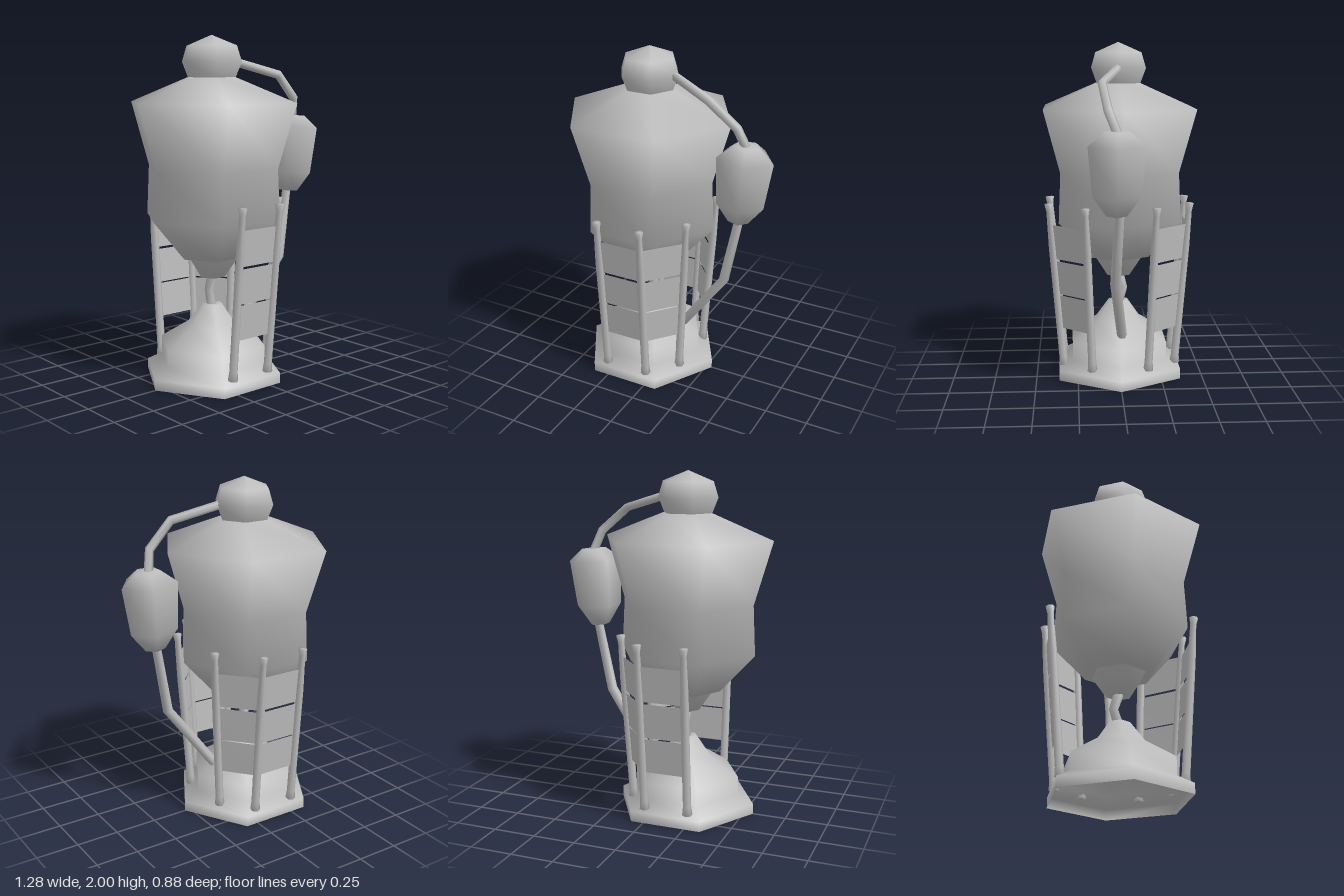
import * as THREE from 'three';
import { mergeVertices } from 'three/addons/utils/BufferGeometryUtils.js';

const CX = -0.135; // axis of the tank and base
const UP = new THREE.Vector3(0, 1, 0);

const grey = new THREE.MeshStandardMaterial({ color: 0xbcbcbc, side: THREE.DoubleSide });
grey.name = 'plain grey';

function smooth(geometry) {
  geometry.deleteAttribute('uv');
  geometry.deleteAttribute('normal');
  const merged = mergeVertices(geometry, 1e-4);
  merged.computeVertexNormals();
  return merged;
}

// Low-sided turned form with a corner on +x; profile runs bottom to top as [radius, y]
function turned(name, profile, sides = 6) {
  const points = profile.map(([r, y]) => new THREE.Vector2(r, y));
  const mesh = new THREE.Mesh(new THREE.LatheGeometry(points, sides, Math.PI / 2), grey);
  mesh.name = name;
  return mesh;
}

// Rod through points listed from top to bottom, with one radius per point
function rod(name, path, radii, sides = 6) {
  const pts = path.map((p) => new THREE.Vector3(...p));
  const last = pts.length - 1;
  const frames = pts.map((p, i) => {
    const a = pts[Math.max(i - 1, 0)], b = pts[Math.min(i + 1, last)];
    return new THREE.Quaternion().setFromUnitVectors(UP, a.clone().sub(b).normalize());
  });
  const geometry = new THREE.CylinderGeometry(1, 1, 1, sides, last);
  const pos = geometry.attributes.position;
  const v = new THREE.Vector3();
  for (let k = 0; k < pos.count; k++) {
    v.fromBufferAttribute(pos, k);
    const i = Math.round((0.5 - v.y) * last);
    v.y = 0;
    v.multiplyScalar(radii[i]).applyQuaternion(frames[i]).add(pts[i]);
    pos.setXYZ(k, v.x, v.y, v.z);
  }
  const mesh = new THREE.Mesh(smooth(geometry), grey);
  mesh.name = name;
  return mesh;
}

// Three leaning posts with rows of thin panels between them; side is +1 front, -1 back
function fence(name, side) {
  const group = new THREE.Group();
  group.name = name;
  const bottomY = 0.08, topY = 1.065;
  const posts = [
    { bottom: [-0.262, 0.335], top: [-0.262, 0.415] },
    { bottom: [0.0, 0.335], top: [0.012, 0.415] },
    { bottom: [0.14, 0.165], top: [0.2, 0.205] },
  ];
  const at = (post, y) => {
    const t = (y - bottomY) / (topY - bottomY);
    return new THREE.Vector3(
      THREE.MathUtils.lerp(post.bottom[0], post.top[0], t), y,
      side * THREE.MathUtils.lerp(post.bottom[1], post.top[1], t));
  };
  const heights = [1.065, 1.02, 0.8, 0.13, 0.08];
  const radii = [0.026, 0.018, 0.024, 0.024, 0.03];
  for (const post of posts) {
    group.add(rod('post', heights.map((y) => at(post, y).toArray()), radii));
  }
  for (let i = 0; i < 2; i++) {
    for (const [low, high] of [[0.31, 0.513], [0.52, 0.722], [0.735, 0.94]]) {
      const corners = [
        at(posts[i], high), at(posts[i + 1], high), at(posts[i], low), at(posts[i + 1], low),
      ];
      const geometry = new THREE.PlaneGeometry(1, 1);
      corners.forEach((c, k) => geometry.attributes.position.setXYZ(k, c.x, c.y, c.z));
      if (side < 0) geometry.setIndex([0, 1, 2, 2, 1, 3]);
      geometry.computeVertexNormals();
      const panel = new THREE.Mesh(geometry, grey);
      panel.name = 'panel';
      group.add(panel);
    }
  }
  return group;
}

export function createModel() {
  const model = new THREE.Group();
  model.name = 'tankOnBase';

  // Central column: hollow base, pipe, nozzle, tank and cap
  const column = new THREE.Group();
  column.name = 'column';
  column.position.x = CX;
  column.add(
    turned('base', [[0.42, 0], [0.42, 0.06], [0.325, 0.11], [0.325, 0.215],
      [0.15, 0.325], [0.065, 0.44], [0, 0.44]]),
    rod('centrePipe', [[0, 0.62, 0], [0, 0.52, -0.03], [0, 0.42, 0]], [0.03, 0.026, 0.03]),
    turned('nozzle', [[0, 0.605], [0.077, 0.605], [0.165, 0.735]]),
    turned('tank', [[0, 0.73], [0.205, 0.73], [0.412, 0.96], [0.398, 1.25],
      [0.507, 1.62], [0.14, 1.765]]),
    turned('cap', [[0.145, 1.76], [0.182, 1.85], [0.153, 1.94], [0, 2]]),
  );
  model.add(column);

  // Small five-sided side vessel, tilted slightly outwards
  const vessel = turned('sideVessel', [[0, -0.225], [0.06, -0.225], [0.14, -0.11],
    [0.166, 0.165], [0.075, 0.235], [0, 0.235]], 5);
  vessel.position.set(0.463, 1.295, 0.037);
  vessel.rotation.z = -0.08;
  model.add(vessel);

  // Bent hoses from the cap to the vessel and down to the base
  model.add(
    rod('upperHose', [[0.01, 1.855, 0.005], [0.285, 1.775, 0.108], [0.44, 1.635, 0.08],
      [0.478, 1.51, 0.03]], [0.025, 0.026, 0.026, 0.026]),
    rod('lowerHose', [[0.445, 1.08, 0.02], [0.368, 0.67, 0.04], [0.085, 0.28, -0.012]],
      [0.026, 0.03, 0.03]),
  );

  model.add(fence('frontFence', 1), fence('backFence', -1));
  return model;
}
